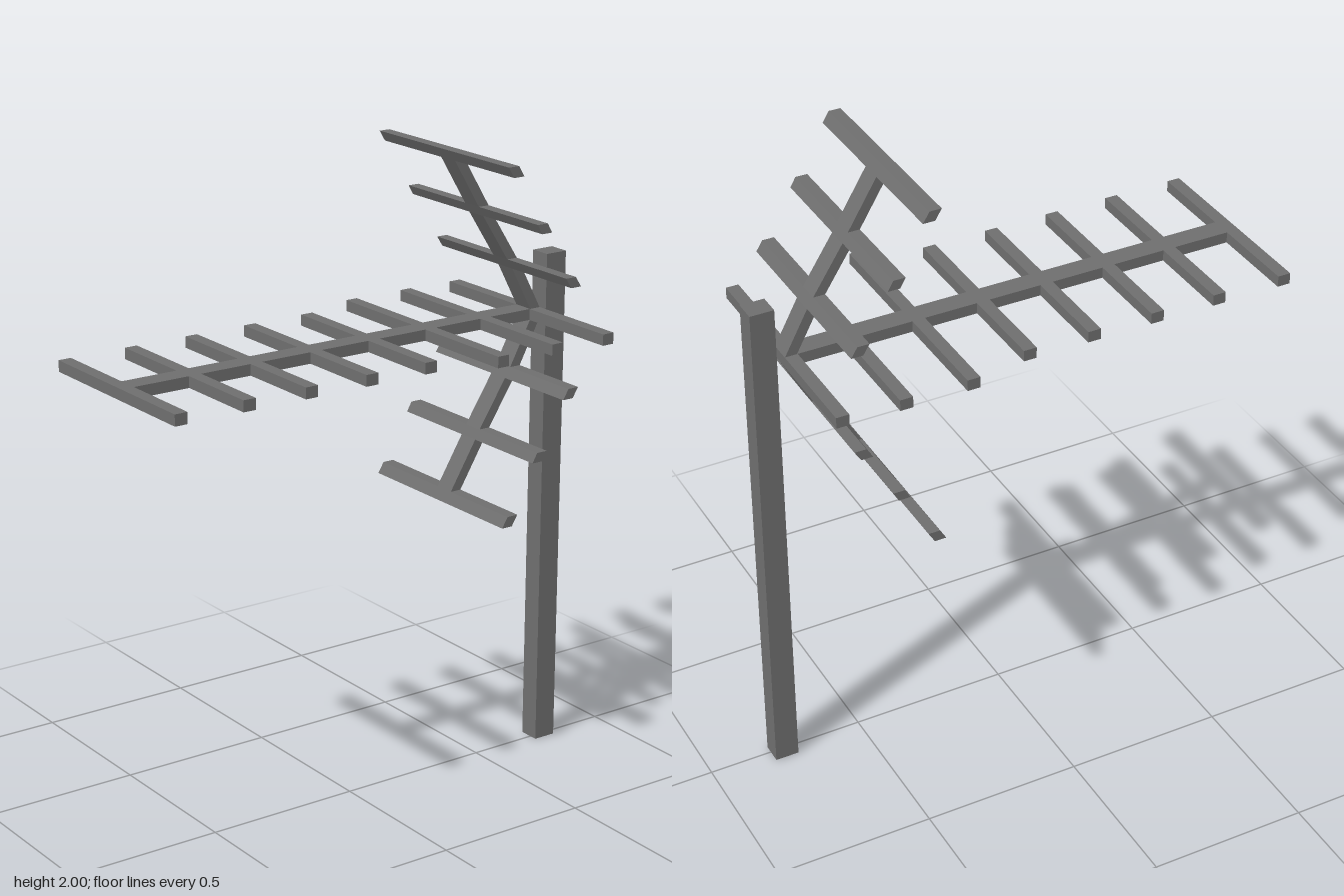
import * as THREE from 'three';

const Z0 = -0.042, Z1 = 0.026; // depth of the boom, arms and mast
const MID = 1.4475;            // height of the boom axis

export function createModel() {
  const model = new THREE.Group();
  model.name = 'antenna';
  const metal = new THREE.MeshStandardMaterial({ color: 0x6e6e6e });
  metal.name = 'grey metal';

  const box = (name, x0, x1, y0, y1, z0, z1, parent = model) => {
    const mesh = new THREE.Mesh(new THREE.BoxGeometry(x1 - x0, y1 - y0, z1 - z0), metal);
    mesh.position.set((x0 + x1) / 2, (y0 + y1) / 2, (z0 + z1) / 2);
    mesh.name = name;
    parent.add(mesh);
  };

  // Extrude an outline in x and y between two depths
  const prism = (name, points, z0, z1, parent) => {
    const shape = new THREE.Shape(points.map(([x, y]) => new THREE.Vector2(x, y)));
    const geometry = new THREE.ExtrudeGeometry(shape, { depth: z1 - z0, bevelEnabled: false });
    const mesh = new THREE.Mesh(geometry.translate(0, 0, z0), metal);
    mesh.name = name;
    parent.add(mesh);
  };

  box('mast', 0.725, 0.8, 0, 1.63, Z0, Z1);
  box('boom', -0.8, 0.7, 1.43, 1.465, Z0, Z1);

  // Short directors, then longer rods near the mast
  const rods = new THREE.Group();
  rods.name = 'boomRods';
  model.add(rods);
  [-0.8, -0.577, -0.368, -0.159, 0.05].forEach((x) =>
    box('director', x, x + 0.041, 1.43, 1.465, -0.328, 0.308, rods));
  [[0.26, -0.386, 0.38], [0.469, -0.386, 0.372], [0.661, -0.381, 0.376]].forEach(([x, z0, z1]) =>
    box('longRod', x, x + 0.04, 1.43, 1.465, z0, z1, rods));

  // Swept reflector arms, mirrored above and below the boom
  const edge = [[0.7, 1.465], [0.626, 1.604], [0.606, 1.636], [0.51, 1.785],
    [0.493, 1.815], [0.401, 1.967], [0.381, 2.0]]; // outer edge, from the boom to the tip
  const width = 0.037;
  for (const side of [1, -1]) {
    const arm = new THREE.Group();
    arm.name = side > 0 ? 'upperReflector' : 'lowerReflector';
    model.add(arm);
    const outer = edge.map(([x, y]) => [x, MID + side * (y - MID)]);
    const band = (pts) => [...pts, ...pts.map(([x, y]) => [x - width, y]).reverse()];
    prism('reflectorArm', band(outer), Z0, Z1, arm);
    for (const i of [1, 3, 5]) {
      prism('reflectorRod', band(outer.slice(i, i + 2)), -0.328, 0.308, arm);
    }
  }
  return model;
}
